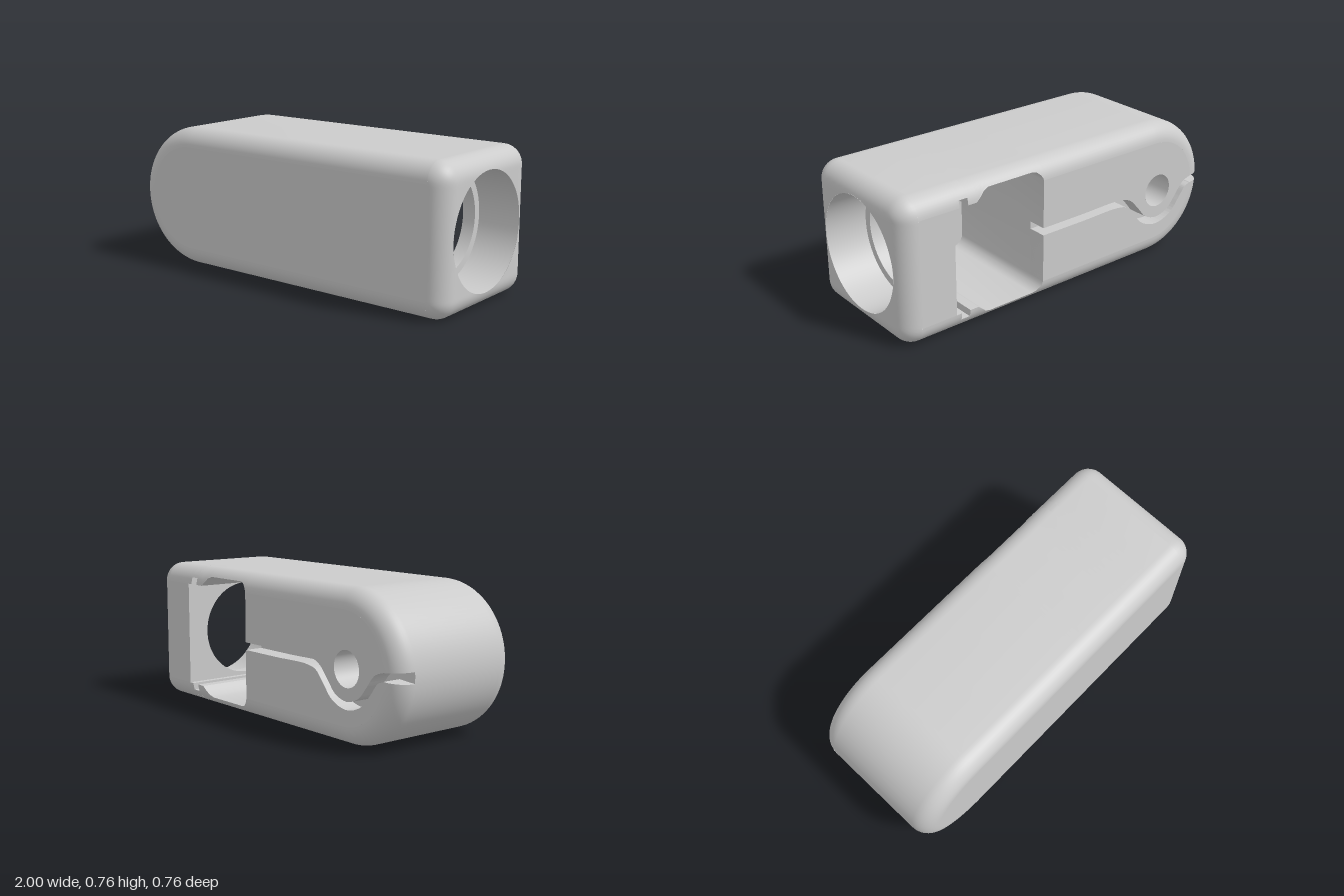
import * as THREE from 'three';
import { toCreasedNormals } from 'three/addons/utils/BufferGeometryUtils.js';

const H = 0.378, R = 0.1, F = H - R;          // half size, edge fillet, flat half size
const ARC_X = -0.622, END_X = 0.9;            // centre of the round end, start of the end cap
const CAV = { x0: 0.16, x1: 0.7, front: 0.31 };
const SLOT = 0.02, SLOT_A = Math.asin(SLOT / F); // half width of the groove
const PIN = { x: -0.645, r: 0.09, depth: 0.22 };

// upper half of the cavity outline, from the bore wall towards the round end
const cavityTop = [
  [0.7, 0.278], [0.67, 0.278], [0.67, 0.315], [0.62, 0.315], [0.62, 0.278], [0.57, 0.278],
  [0.545, 0.3], [0.52, 0.322], [0.49, 0.332], [0.22, 0.332], [0.195, 0.325], [0.175, 0.308],
  [0.165, 0.293], [0.16, 0.278],
];

// height of the fillet above its start, at distance d from the edge
const rise = (d) => (d >= R ? R : Math.sqrt(Math.max(0, R * R - (R - d) ** 2)));

export function createModel() {
  const group = new THREE.Group();
  const body = new THREE.Group();
  body.position.y = H;
  group.add(body);
  const mat = new THREE.MeshStandardMaterial({ color: 0xcccccc, side: THREE.DoubleSide });
  const add = (name, geo) => {
    const m = new THREE.Mesh(geo, mat);
    m.name = name;
    body.add(m);
    return m;
  };

  // surface through columns of points
  const grid = (cols, crease) => {
    const n = cols[0].length, pos = cols.flat(2), idx = [];
    for (let i = 0; i < cols.length - 1; i++)
      for (let j = 0; j < n - 1; j++) {
        const a = i * n + j, b = a + n;
        idx.push(a, a + 1, b, b, a + 1, b + 1);
      }
    const g = new THREE.BufferGeometry();
    g.setAttribute('position', new THREE.Float32BufferAttribute(pos, 3));
    g.setIndex(idx);
    g.computeVertexNormals();
    return crease ? toCreasedNormals(g, crease) : g;
  };
  const toShape = (pts) => new THREE.Shape(pts.map(([x, y]) => new THREE.Vector2(x, y)));
  const flat = (pts, z, holes = []) => {
    const s = toShape(pts);
    s.holes.push(...holes);
    return new THREE.ShapeGeometry(s, 48).translate(0, 0, z);
  };
  const circle = (x, y, r) => new THREE.Path().absarc(x, y, r, 0, Math.PI * 2, true);
  const arc = (a0, a1, r, n = 32) => Array.from({ length: n + 1 }, (_, i) => {
    const a = a0 + (a1 - a0) * i / n;
    return [ARC_X + r * Math.cos(a), r * Math.sin(a)];
  });

  // outer shell: fillet, side wall and fillet again, swept along the outline
  const topCols = [[END_X, F], ...cavityTop, [ARC_X, F]].map(([x, h]) =>
    ({ x, y: H, nx: 0, ny: 1, d: H - h }));
  const half = Array.from({ length: 25 }, (_, i) => Math.PI / 2 + (Math.PI / 2 - SLOT_A) * i / 24);
  const round = (a, gap) => ({
    x: ARC_X + H * Math.cos(a), y: H * Math.sin(a), nx: Math.cos(a), ny: Math.sin(a), d: R, gap,
  });
  const path = [
    ...topCols,
    ...half.map((a) => round(a)),
    round(Math.PI - SLOT_A, true), round(Math.PI, true), round(Math.PI + SLOT_A, true),
    ...[...half].reverse().map((a) => round(2 * Math.PI - a)),
    ...[...topCols].reverse().map((c) => ({ ...c, y: -H, ny: -1 })),
  ];
  const K = 10;
  add('outerShell', grid(path.map((c) => {
    const col = [];
    for (let k = K; k >= 0; k--) {
      const a = Math.PI / 2 * k / K, d = R * (1 - Math.cos(a));
      col.push([c.x - c.nx * d, c.y - c.ny * d, F + R * Math.sin(a)]);
    }
    const end = Math.acos(Math.max(0, 1 - c.d / R));
    for (let k = 0; k <= K; k++) {
      const a = end * k / K, d = R * (1 - Math.cos(a));
      col.push([c.x - c.nx * d, c.y - c.ny * d, -F - (c.gap ? 0 : R * Math.sin(a))]);
    }
    return col;
  }), 0.6));
  add('frontFace', flat([[END_X, F], ...arc(Math.PI / 2, Math.PI * 1.5, F, 64), [END_X, -F]], H));

  // rounded end cap, from the bore rim out to the rounded square
  const sdf = (y, z) => {
    const qy = Math.abs(y) - F, qz = Math.abs(z) - F;
    return Math.hypot(Math.max(qy, 0), Math.max(qz, 0)) + Math.min(Math.max(qy, qz), 0) - R;
  };
  const BORE = 0.3, SEAT = 0.26, SEAT_X = 0.77, cap = [];
  for (let i = 0; i <= 192; i++) {
    const a = Math.PI * 2 * i / 192, c = Math.cos(a), s = Math.sin(a), col = [];
    let out = 0.3;
    for (let k = 0; k < 40; k++) out -= sdf(out * c, out * s);
    for (let k = 0; k <= 14; k++) {
      const r = BORE + (out - BORE) * Math.sin(Math.PI / 2 * k / 14);
      col.push([END_X + rise(-sdf(r * c, r * s)), r * c, r * s]);
    }
    cap.push(col);
  }
  add('endCap', grid(cap));

  // stepped bore
  const tube = (r, x0, x1) => new THREE.CylinderGeometry(r, r, x1 - x0, 96, 1, true)
    .rotateZ(Math.PI / 2).translate((x0 + x1) / 2, 0, 0);
  add('bore', tube(BORE, SEAT_X, 0.999));
  add('boreSeat', new THREE.RingGeometry(SEAT, BORE, 96).rotateY(Math.PI / 2).translate(SEAT_X, 0, 0));
  add('innerBore', tube(SEAT, CAV.x1, SEAT_X));
  add('boreWall', flat([[-CAV.front, -F], [H, -F], [H, F], [-CAV.front, F]], 0, [circle(0, 0, SEAT)])
    .rotateY(Math.PI / 2).translate(CAV.x1, 0, 0));

  // cavity open at the back, its rim following the fillet
  const rim = (y) => -F - rise(H - Math.abs(y));
  const loop = [
    ...cavityTop.map(([x, y]) => [x, y, rim(y)]),
    [CAV.x0, SLOT, -H], [CAV.x0, SLOT, -F], [CAV.x0, -SLOT, -F], [CAV.x0, -SLOT, -H],
    ...[...cavityTop].reverse().map(([x, y]) => [x, -y, rim(y)]),
  ];
  add('cavityWalls', grid(loop.map(([x, y, z]) => [[x, y, z], [x, y, CAV.front]]), 0.6));
  add('cavityFloor', flat(loop, CAV.front));
  add('backStrip', flat([[CAV.x1, -F], [END_X, -F], [END_X, F], [CAV.x1, F]], -H));

  // back face in two halves, parted by a groove that dips around the pin hole
  const curve = new THREE.CatmullRomCurve3([
    [CAV.x0, 0], [-0.1, 0], [-0.36, 0], [-0.43, -0.02], [-0.49, -0.08], [-0.55, -0.145],
    [-0.645, -0.175], [-0.74, -0.145], [-0.8, -0.08], [-0.85, -0.02], [-0.899, 0],
  ].map(([x, y]) => new THREE.Vector3(x, y, 0)));
  const edge = (side) => Array.from({ length: 61 }, (_, i) => {
    const p = curve.getPoint(i / 60), t = curve.getTangent(i / 60);
    if (i === 0 || i === 60) t.set(-1, 0, 0);
    return [p.x + t.y * SLOT * side, p.y - t.x * SLOT * side];
  });
  const plate = (pts, holes = []) => {
    const s = toShape(pts);
    s.holes.push(...holes);
    return new THREE.ExtrudeGeometry(s, { depth: R, bevelEnabled: false, curveSegments: 48 })
      .translate(0, 0, -H);
  };
  const pinHole = () => circle(PIN.x, 0, PIN.r);
  add('upperBackFace', plate([[CAV.x0, F], ...arc(Math.PI / 2, Math.PI - SLOT_A, F),
    ...edge(1).reverse().slice(1)], [pinHole()]));
  add('lowerBackFace', plate([...edge(-1), ...arc(Math.PI + SLOT_A, Math.PI * 1.5, F), [CAV.x0, -F]]));
  add('grooveFloor', flat([[CAV.x0, F], ...arc(Math.PI / 2, Math.PI * 1.5, F, 64), [CAV.x0, -F]],
    -F, [pinHole()]));

  // blind pin hole
  add('pinHole', new THREE.CylinderGeometry(PIN.r, PIN.r, PIN.depth, 48, 1, true)
    .rotateX(Math.PI / 2).translate(PIN.x, 0, -H + PIN.depth / 2));
  add('pinHoleBottom', new THREE.CircleGeometry(PIN.r, 48)
    .rotateY(Math.PI).translate(PIN.x, 0, -H + PIN.depth));

  return group;
}
